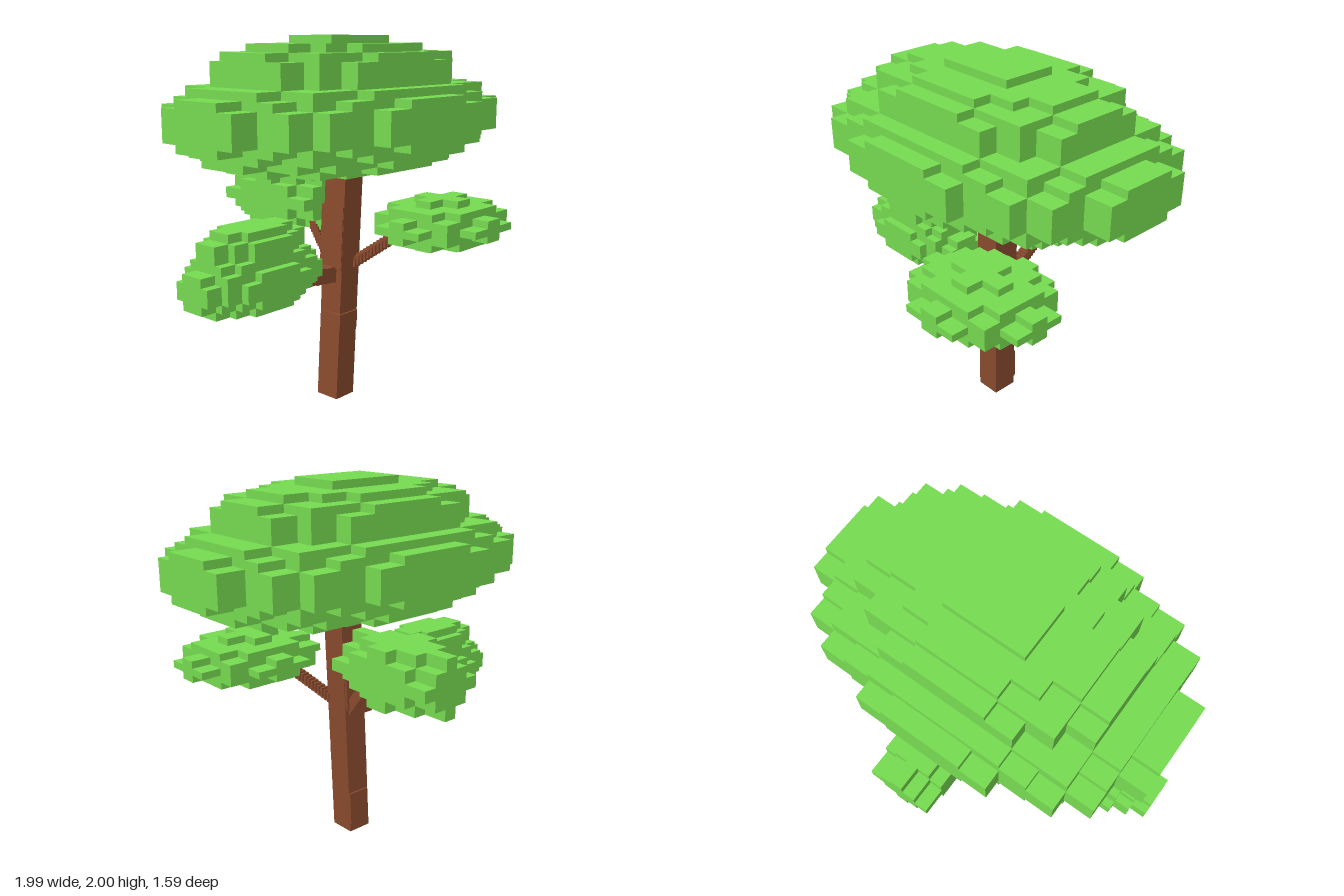
import * as THREE from 'three';

const leafMat = new THREE.MeshStandardMaterial({ color: 0x78dd52 });
const barkMat = new THREE.MeshStandardMaterial({ color: 0x8b4c2e });

// Blocky foliage: each layer (bottom to top) is a disc of cells whose squared radius is given.
// Only the exposed cell faces are emitted.
function foliage(name, min, max, layers, width) {
  const n = [width, layers.length, width];
  const mid = (width - 1) / 2;
  const size = n.map((k, a) => (max[a] - min[a]) / k);
  const filled = ([i, j, k]) =>
    j >= 0 && j < n[1] && i >= 0 && i < width && k >= 0 && k < width &&
    (i - mid) ** 2 + (k - mid) ** 2 <= layers[j];
  const pos = [], nor = [], idx = [];

  function addFace(cell, a, s) {
    const u = (a + 1) % 3, v = (a + 2) % 3, base = pos.length / 3;
    for (const [du, dv] of [[0, 0], [1, 0], [1, 1], [0, 1]]) {
      const c = [...cell];
      c[a] += s > 0 ? 1 : 0;
      c[u] += du;
      c[v] += dv;
      pos.push(...c.map((q, b) => min[b] + q * size[b]));
      nor.push(...[0, 1, 2].map(b => (b === a ? s : 0)));
    }
    const order = s > 0 ? [0, 1, 2, 0, 2, 3] : [0, 2, 1, 0, 3, 2];
    idx.push(...order.map(o => base + o));
  }

  for (let i = 0; i < n[0]; i++) for (let j = 0; j < n[1]; j++) for (let k = 0; k < n[2]; k++) {
    const cell = [i, j, k];
    if (!filled(cell)) continue;
    for (let a = 0; a < 3; a++) for (const s of [-1, 1]) {
      const next = [...cell];
      next[a] += s;
      if (!filled(next)) addFace(cell, a, s);
    }
  }
  const geo = new THREE.BufferGeometry();
  geo.setAttribute('position', new THREE.Float32BufferAttribute(pos, 3));
  geo.setAttribute('normal', new THREE.Float32BufferAttribute(nor, 3));
  geo.setIndex(idx);
  const mesh = new THREE.Mesh(geo, leafMat);
  mesh.name = name;
  return mesh;
}

// Layer radii of a round clump of cells
function ballLayers(width, r2) {
  const mid = (width - 1) / 2;
  return Array.from({ length: width }, (_, j) => r2 - (j - mid) ** 2);
}

// Leaning square post between two heights
function post(name, x, z, w, d, y0, y1) {
  const geo = new THREE.BoxGeometry(w, y1 - y0, d);
  geo.translate(x, (y0 + y1) / 2, z);
  const p = geo.attributes.position;
  for (let i = 0; i < p.count; i++) {
    const y = p.getY(i);
    p.setX(i, p.getX(i) + y * 0.028);
    p.setZ(i, p.getZ(i) + y * 0.024);
  }
  geo.computeVertexNormals();
  const mesh = new THREE.Mesh(geo, barkMat);
  mesh.name = name;
  return mesh;
}

// Branch of small overlapping blocks stepping from one point to another
function branch(name, from, to, steps, block) {
  const group = new THREE.Group();
  group.name = name;
  const a = new THREE.Vector3(...from), b = new THREE.Vector3(...to);
  const geo = new THREE.BoxGeometry(...block);
  for (let i = 0; i <= steps; i++) {
    const mesh = new THREE.Mesh(geo, barkMat);
    mesh.name = name + 'Block';
    mesh.position.lerpVectors(a, b, i / steps);
    group.add(mesh);
  }
  return group;
}

export function createModel() {
  const tree = new THREE.Group();
  tree.name = 'tree';

  // Trunk with slightly raised bark strips
  tree.add(post('trunk', 0.005, 0.022, 0.14, 0.144, 0, 1.34));
  tree.add(post('lowerBark', 0.01, 0.014, 0.13, 0.148, 0.05, 0.24));
  tree.add(post('middleBark', -0.005, 0.034, 0.142, 0.144, 0.4, 0.5));
  tree.add(post('upperBark', 0, 0.014, 0.142, 0.156, 0.75, 1.1));

  // Branches
  tree.add(branch('rightBranch', [-0.03, 0.718, 0.035], [-0.29, 0.742, 0.035], 4, [0.07, 0.085, 0.075]));
  tree.add(branch('frontBranch', [0.04, 0.74, 0.06], [0.19, 0.915, 0.27], 14, [0.045, 0.05, 0.04]));
  tree.add(branch('backBranch', [0.04, 0.74, -0.02], [0.08, 0.94, -0.2], 14, [0.06, 0.05, 0.04]));

  // Foliage
  tree.add(foliage('canopy', [-0.945, 1.29, -0.62], [0.99, 2, 0.685],
    [6, 18, 27, 33, 38, 42, 42, 42, 42, 38, 32, 23, 22, 21, 18, 11, 2.3], 13));
  tree.add(foliage('rightFoliage', [-1, 0.68, -0.17], [-0.235, 1.085, 0.24],
    [11, 17, 20.5, 20.5, 18, 14, 12, 10, 5.5], 9));
  tree.add(foliage('frontFoliage', [-0.02, 0.87, 0.13], [0.77, 1.145, 0.795], ballLayers(7, 10.5), 7));
  tree.add(foliage('backFoliage', [-0.085, 0.92, -0.79], [0.27, 1.235, -0.13], ballLayers(5, 8.5), 5));
  return tree;
}
